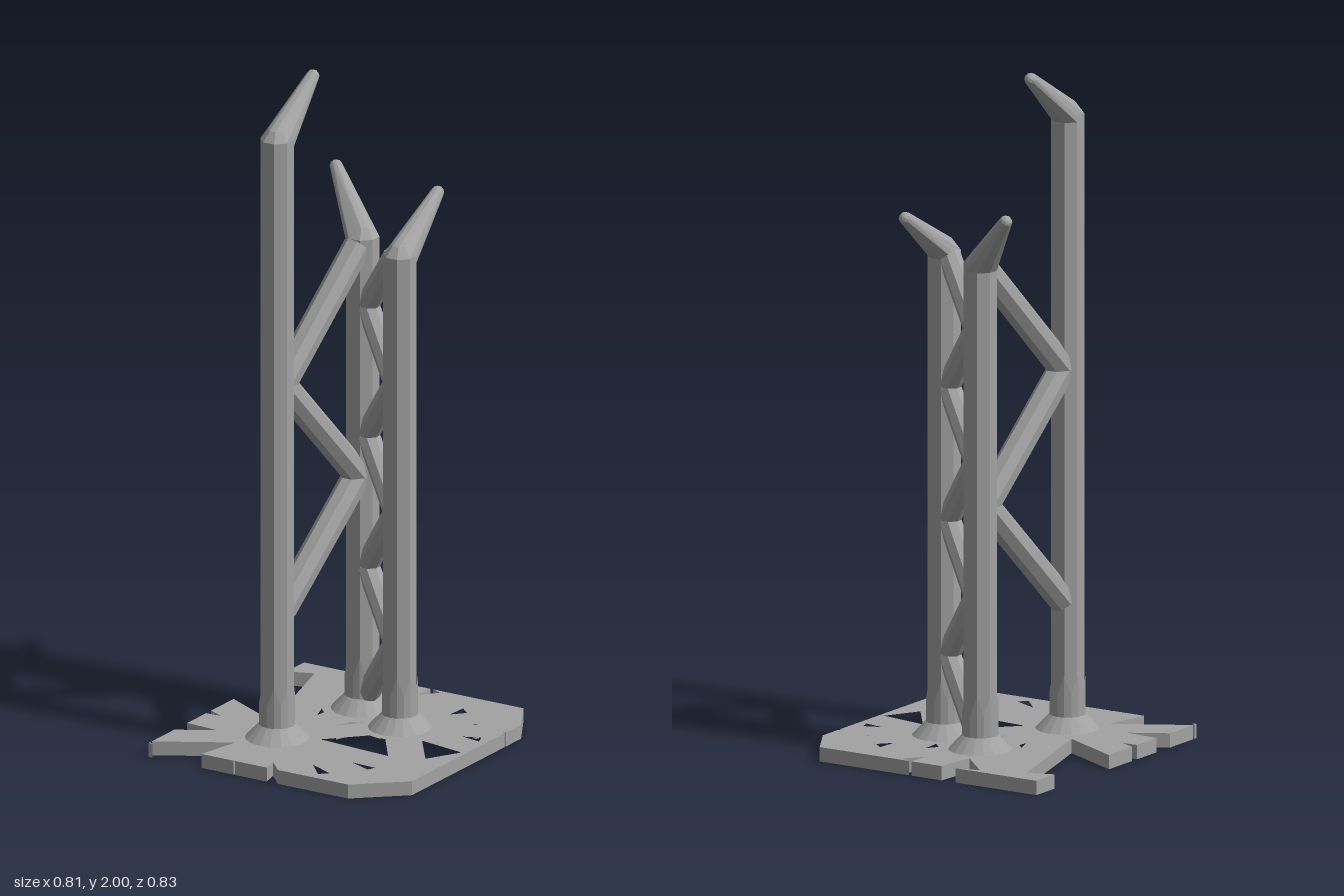
import * as THREE from 'three';
import { ConvexGeometry } from 'three/addons/geometries/ConvexGeometry.js';

const V = (x, y, z) => new THREE.Vector3(x, y, z);

export function createModel() {
  const group = new THREE.Group();
  const steel = new THREE.MeshStandardMaterial({ color: 0xa2a2a2, flatShading: true });
  steel.name = 'greySteel';
  const smoothSteel = steel; // one shared colour throughout

  const add = (name, geometry, parent = group) => {
    const mesh = new THREE.Mesh(geometry, smoothSteel);
    mesh.name = name;
    parent.add(mesh);
    return mesh;
  };

  // Broken base plate: outline and holes as x, z pairs in hundredths
  const toPoints = (a) => {
    const pts = [];
    for (let i = 0; i < a.length; i += 2) pts.push(new THREE.Vector2(a[i] / 100, -a[i + 1] / 100));
    return pts;
  };
  const plate = new THREE.Shape(toPoints([
    -40.6, -41.4, -13, -41.4, -20, -39.5, -9.5, -29, -8.2, -41.4, 2.1, -41.4, 1.7, -34.6, 6.1, -40,
    2.9, -41.4, 33.4, -41.4, 40.5, -29, 40.5, -21, 39.5, -20.5, 40.5, -20.2, 40.5, 29, 26.7, 41.2,
    3, 41.2, -2, 36, -0.7, 41.2, -11.4, 41.2, -11.8, 40, -12, 41.2, -22.8, 41.2, -20, 27.7,
    -40.6, 39.5, -40.6, 27.5, -30, 21.4, -40.6, 20.7, -40.6, 10.6, -35.7, 10.4, -40.6, 8,
    -40.6, -4, -21, 6.4, -33, -35, -40.6, -32,
  ]));
  const holes = [
    [19, -32, 22.1, -29.4, 18.6, -25.6],
    [28.7, -21.7, 30.2, -22.8, 29.8, -21.7],
    [32, -11.4, 37, -13.4, 38.1, -10.3],
    [24.1, -2.2, 39, 0.4, 33.3, 10.5],
    [9, 2, 12.3, 2.7, 14.5, 2.2, 23, 14.2, -0.9, 12.3],
    [17.3, 24.3, 25.4, 24.8, 24.3, 27.2],
    [9, 32, 16.9, 35.7, 14.5, 38],
    [7.5, -25.8, 7.9, -19.7, 5.3, -22.6],
    [1.2, -6.6, -2, -4.4, -3.5, 0],
    [-14.9, -10.3, -12.7, -8, -13, -5],
  ];
  for (const h of holes) plate.holes.push(new THREE.Path(toPoints(h)));
  const plateGeometry = new THREE.ExtrudeGeometry(plate, { depth: 0.042, bevelEnabled: false });
  plateGeometry.rotateX(-Math.PI / 2);
  add('basePlate', plateGeometry);
  // Loose corner fragment
  const shard = new THREE.Shape(toPoints([-40.6, 40.3, -40.6, 41.2, -39.3, 41.2]));
  const shardGeometry = new THREE.ExtrudeGeometry(shard, { depth: 0.042, bevelEnabled: false });
  shardGeometry.rotateX(-Math.PI / 2);
  add('plateFragment', shardGeometry);

  const R = 0.0485;
  const ring = (x, y, z, r) => Array.from({ length: 8 }, (_, i) => {
    const a = (i + 0.5) * Math.PI / 4;
    return V(x + r * Math.cos(a), y, z + r * Math.sin(a));
  });

  // Posts with skirt, jagged collar and leaning spike
  const posts = {
    frontPost: { x: -0.125, z: 0.172, top: 1.845, tip: V(-0.125, 1.98, -0.018) },
    leftPost: { x: 0.122, z: -0.092, top: 1.465, tip: V(0.122, 1.595, -0.292) },
    backPost: { x: -0.057, z: -0.176, top: 1.465, tip: V(-0.202, 1.622, -0.264) },
  };
  for (const [name, p] of Object.entries(posts)) {
    const post = new THREE.Group();
    post.name = name;
    group.add(post);

    const h = p.top - 0.03;
    add('shaft', new THREE.CylinderGeometry(R, R, h, 8)
      .rotateY(Math.PI / 8).translate(p.x, 0.03 + h / 2, p.z), post);
    add('skirt', new THREE.CylinderGeometry(0.052, 0.092, 0.042, 18)
      .translate(p.x, 0.063, p.z), post);

    // Collar: raise every other top vertex into a crown of splinters
    const collar = new THREE.CylinderGeometry(0.0525, 0.0525, 0.12, 16, 1, true);
    const pos = collar.attributes.position;
    for (let i = 0; i <= 16; i++) pos.setY(i, i % 2 ? 0.07 : 0.125);
    for (let i = 17; i < pos.count; i++) pos.setY(i, 0);
    add('jaggedCollar', collar.rotateY(Math.PI / 8).translate(p.x, 0.08, p.z), post);

    // Spike: hull of the shaft top, a bevelled shoulder and a rounded end
    const end = new THREE.IcosahedronGeometry(0.019, 1).attributes.position;
    const pts = [...ring(p.x, p.top, p.z, R), ...ring(p.x, p.top - 0.02, p.z, R),
      ...ring(p.x, p.top + 0.03, p.z, 0.025)];
    for (let i = 0; i < end.count; i++) pts.push(new THREE.Vector3().fromBufferAttribute(end, i).add(p.tip));
    add('spike', new ConvexGeometry(pts), post);
  }

  // Diagonal braces running in a zigzag between two posts
  const zigzag = (name, a, b, inset, r, heights) => {
    const set = new THREE.Group();
    set.name = name;
    group.add(set);
    const A = V(a.x, 0, a.z), B = V(b.x, 0, b.z);
    const ends = [A.clone().lerp(B, inset), B.clone().lerp(A, inset)];
    for (let i = 0; i + 1 < heights.length; i++) {
      const from = ends[i % 2].clone().setY(heights[i]);
      const to = ends[(i + 1) % 2].clone().setY(heights[i + 1]);
      const dir = to.clone().sub(from);
      const brace = add('brace', new THREE.CylinderGeometry(r, r, dir.length(), 8).rotateY(Math.PI / 8), set);
      brace.position.copy(from).add(to).multiplyScalar(0.5);
      brace.quaternion.setFromUnitVectors(V(0, 1, 0), dir.normalize());
    }
  };
  zigzag('wideBraces', posts.frontPost, posts.backPost, 0.06, 0.041, [0.42, 0.75, 1.1, 1.44]);
  zigzag('narrowBraces', posts.backPost, posts.leftPost, 0.13, 0.034,
    [0.09, 0.285, 0.48, 0.68, 0.875, 1.07, 1.265, 1.455]);

  return group;
}
